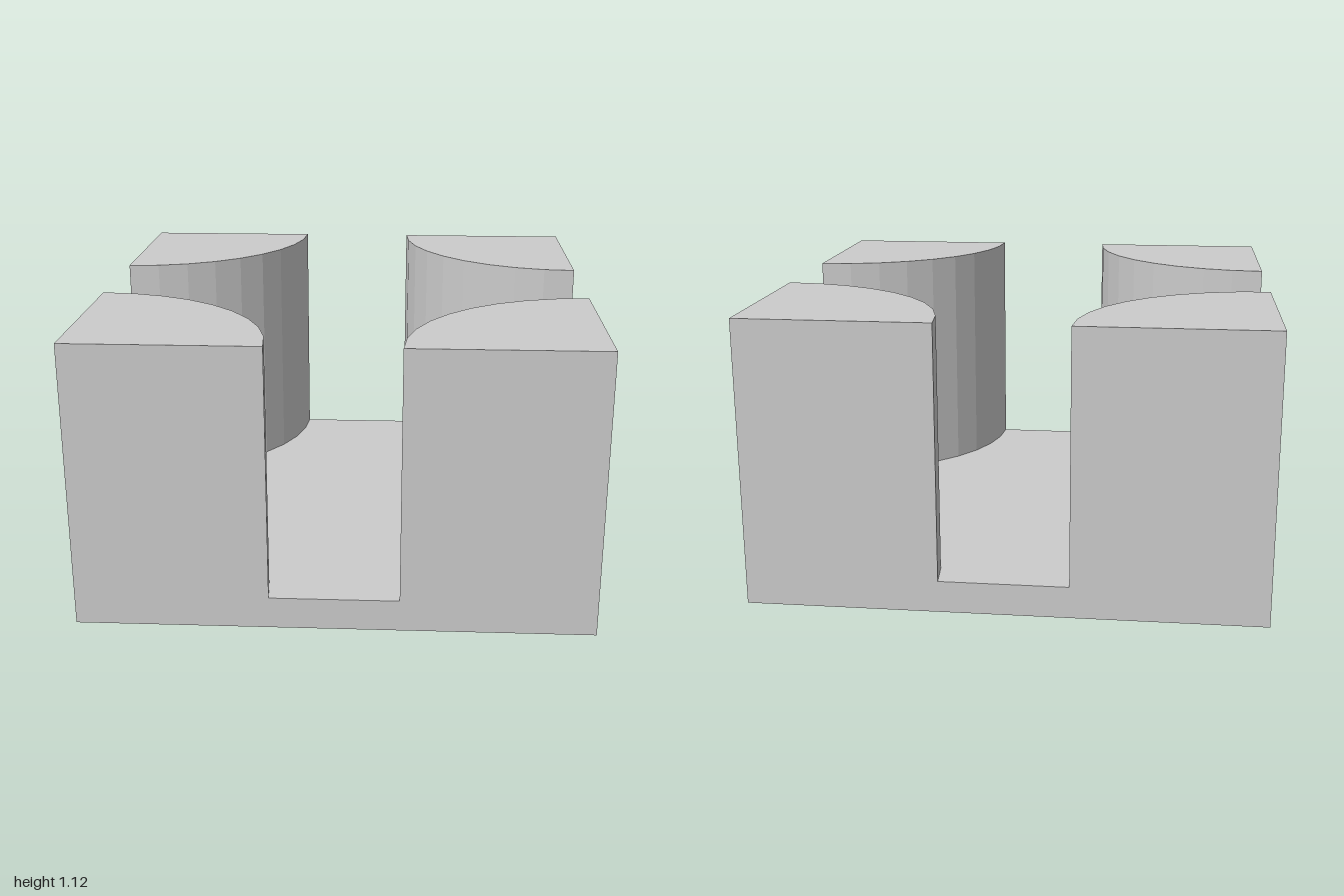
import * as THREE from 'three';

const BASE_HEIGHT = 0.125;
const PILLAR_HEIGHT = 1;
const RADIUS = 0.75;
const ARC_STEPS = 9;

// Quarter-disc prism with its square corner at the origin, standing on y = 0
function quarterPillarGeometry() {
  const shape = new THREE.Shape();
  shape.moveTo(0, 0);
  for (let i = 0; i <= ARC_STEPS; i++) {
    const a = (i / ARC_STEPS) * Math.PI / 2;
    shape.lineTo(RADIUS * Math.cos(a), RADIUS * Math.sin(a));
  }
  shape.closePath();
  const geometry = new THREE.ExtrudeGeometry(shape, { depth: PILLAR_HEIGHT, bevelEnabled: false });
  return geometry.rotateX(-Math.PI / 2);
}

export function createModel() {
  const model = new THREE.Group();
  model.name = 'crossChannelBlock';
  const material = new THREE.MeshStandardMaterial({ color: 0xcccccc, flatShading: true });

  // Square base slab
  const base = new THREE.Mesh(new THREE.BoxGeometry(2, BASE_HEIGHT, 2), material);
  base.name = 'base';
  base.position.y = BASE_HEIGHT / 2;
  model.add(base);

  // One quarter-round pillar in each corner, rounded side facing the centre
  const geometry = quarterPillarGeometry().translate(-1, BASE_HEIGHT, 1);
  ['frontRightPillar', 'frontLeftPillar', 'backLeftPillar', 'backRightPillar'].forEach((name, i) => {
    const pillar = new THREE.Mesh(geometry, material);
    pillar.name = name;
    pillar.rotation.y = i * Math.PI / 2;
    model.add(pillar);
  });

  return model;
}
